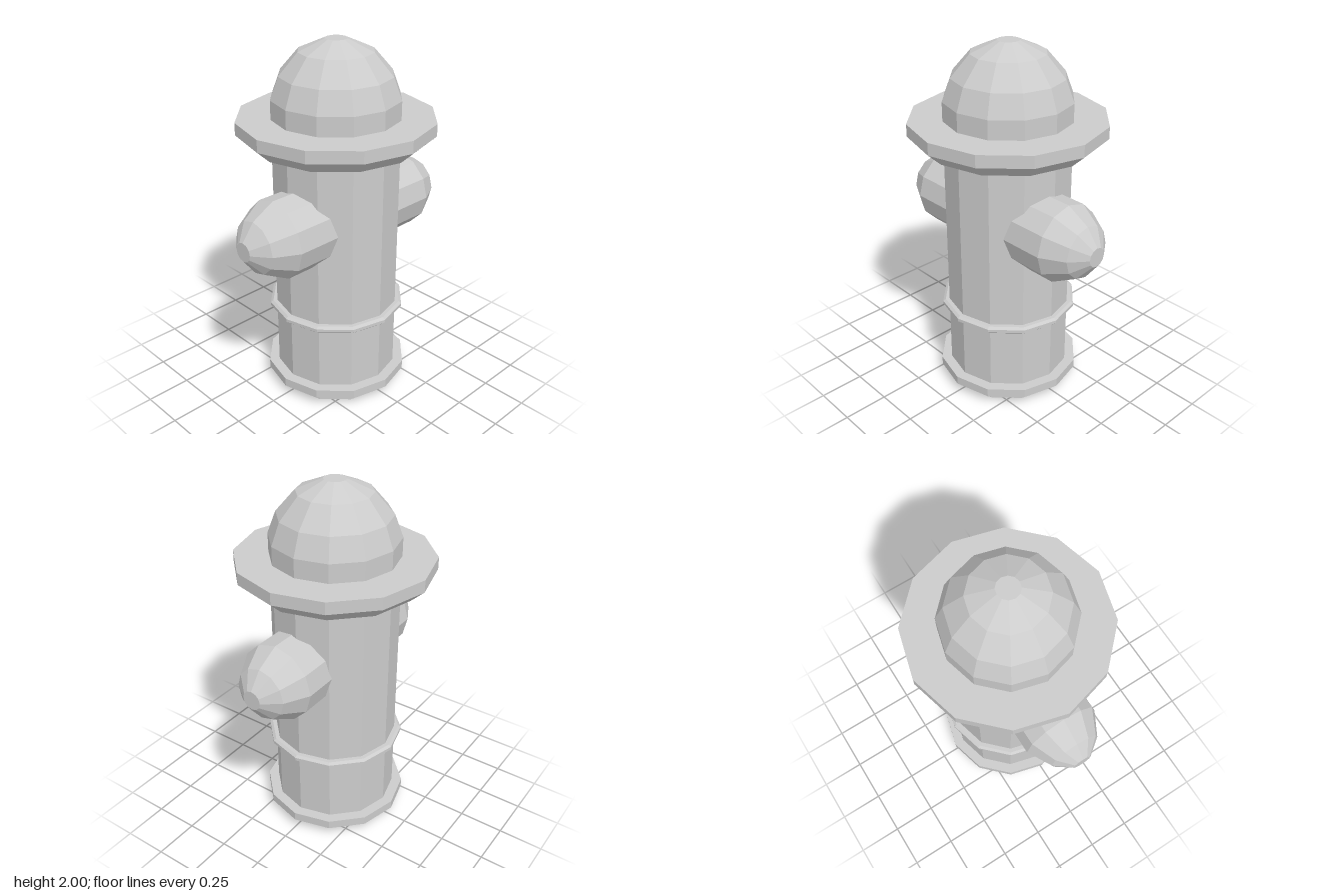
import * as THREE from 'three';

const SIDES = 12;

export function createModel() {
  const model = new THREE.Group();
  model.name = 'fireHydrant';
  const material = new THREE.MeshStandardMaterial({ color: 0xcccccc, flatShading: true });

  // Faceted solid of revolution from [radius, height] pairs, bottom to top
  const turned = (name, profile) => {
    const points = profile.map(([r, y]) => new THREE.Vector2(r, y));
    const mesh = new THREE.Mesh(new THREE.LatheGeometry(points, SIDES), material);
    mesh.name = name;
    model.add(mesh);
    return mesh;
  };

  // Barrel, closed underneath
  turned('barrel', [[0, 0], [0.347, 0], [0.347, 1.5]]);

  // Rings around the barrel
  turned('baseRing', [[0.33, 0.055], [0.405, 0.055], [0.405, 0.105], [0.33, 0.105]]);
  turned('middleBand', [[0.33, 0.47], [0.367, 0.47], [0.385, 0.485], [0.385, 0.503], [0.37, 0.514], [0.33, 0.514]]);

  // Wide flange with a bevelled underside
  turned('flange', [[0.33, 1.46], [0.457, 1.46], [0.533, 1.53], [0.533, 1.597], [0.33, 1.597]]);

  // Domed cap
  turned('dome', [[0.347, 1.59], [0.347, 1.7], [0.302, 1.82], [0.2, 1.938], [0.06, 2], [0, 2]]);

  // Side outlets, mirrored left and right
  for (const [name, side] of [['leftOutlet', 1], ['rightOutlet', -1]]) {
    const outlet = turned(name, [[0, 0.2], [0.216, 0.2], [0.216, 0.475], [0.145, 0.605], [0.053, 0.675], [0, 0.675]]);
    outlet.rotation.z = -side * Math.PI / 2;
    outlet.position.set(0, 1.047, 0.032);
  }

  return model;
}
